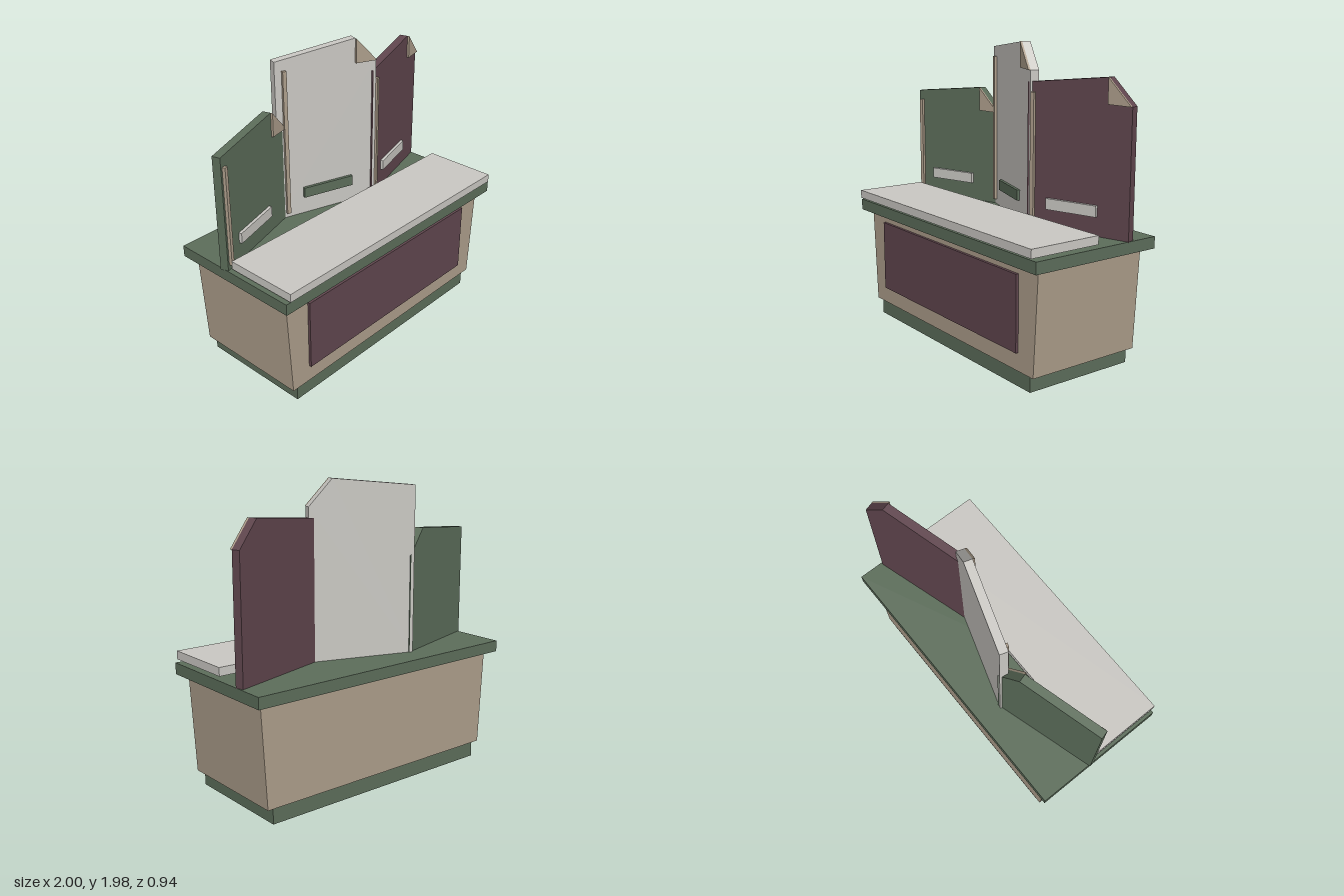
import * as THREE from 'three';

const material = (name, color) => {
  const m = new THREE.MeshStandardMaterial({ color });
  m.name = name;
  return m;
};

export function createModel() {
  const green = material('sage green', 0x5c6d5a);
  const tan = material('warm tan', 0xad9e8b);
  const plum = material('plum', 0x60464e);
  const pale = material('pale stone', 0xcac8c3);
  const model = new THREE.Group();
  model.name = 'displayCounter';

  // box given by its lower and upper limits on each axis
  const box = (parent, name, mat, [x0, x1], [y0, y1], [z0, z1]) => {
    const mesh = new THREE.Mesh(new THREE.BoxGeometry(x1 - x0, y1 - y0, z1 - z0), mat);
    mesh.position.set((x0 + x1) / 2, (y0 + y1) / 2, (z0 + z1) / 2);
    mesh.name = name;
    parent.add(mesh);
  };

  // flat outline extruded from z0 to z1
  const plate = (parent, name, mat, points, z0, z1) => {
    const shape = new THREE.Shape(points.map(([x, y]) => new THREE.Vector2(x, y)));
    const geometry = new THREE.ExtrudeGeometry(shape, { depth: z1 - z0, bevelEnabled: false });
    const mesh = new THREE.Mesh(geometry, mat);
    mesh.position.z = z0;
    mesh.name = name;
    parent.add(mesh);
  };

  // counter, flared towards the top
  box(model, 'plinth', green, [-0.855, 0.86], [0, 0.105], [-0.392, 0.375]);
  plate(model, 'cabinet', tan,
    [[-0.9, 0.105], [0.905, 0.105], [0.943, 0.76], [-0.937, 0.76]], -0.405, 0.39);
  box(model, 'frontPanel', plum, [-0.76, 0.765], [0.22, 0.7], [0.385, 0.408]);
  box(model, 'countertop', green, [-0.99, 0.998], [0.76, 0.835], [-0.47, 0.452]);
  box(model, 'servingSlab', pale, [-0.97, 0.975], [0.85, 0.905], [-0.03, 0.468]);

  // zigzag of upright boards; x, z is the front left corner of each
  const boards = [
    { name: 'rightBoard', mat: green, label: pale, x: -0.984, z: -0.049, angle: 16.5, width: 0.718,
      heights: [1.59, 1.64, 1.475], strip: [0.027, 1.525], labelAt: 0.316 },
    { name: 'middleBoard', mat: pale, label: green, x: -0.355, z: -0.258, angle: -18, width: 0.718,
      heights: [1.925, 1.98, 1.812], strip: [0.06, 1.86], labelAt: 0.356 },
    { name: 'leftBoard', mat: plum, label: pale, x: 0.3, z: -0.038, angle: 16.5, width: 0.73,
      heights: [1.74, 1.795, 1.632], strip: [0.045, 1.68], labelAt: 0.333 },
  ];
  for (const b of boards) {
    const group = new THREE.Group();
    group.name = b.name;
    group.position.set(b.x, 0, b.z);
    group.rotation.y = THREE.MathUtils.degToRad(b.angle);
    model.add(group);

    const [start, peak, end] = b.heights;
    const fold = b.width - 0.155;
    plate(group, 'board', b.mat,
      [[0, 0.83], [b.width, 0.83], [b.width, end], [fold, peak], [0, start]], -0.055, 0);
    // folded corner
    plate(group, 'foldedCorner', tan, [[fold, end + 0.006], [b.width, end], [fold, peak]], 0, 0.014);
    // edge strip and blank label
    const [at, top] = b.strip;
    box(group, 'edgeStrip', tan, [at - 0.013, at + 0.013], [0.87, top], [-0.002, 0.02]);
    box(group, 'labelPlate', b.label, [b.labelAt - 0.18, b.labelAt + 0.18], [0.957, 1.027], [-0.002, 0.02]);
  }
  return model;
}
